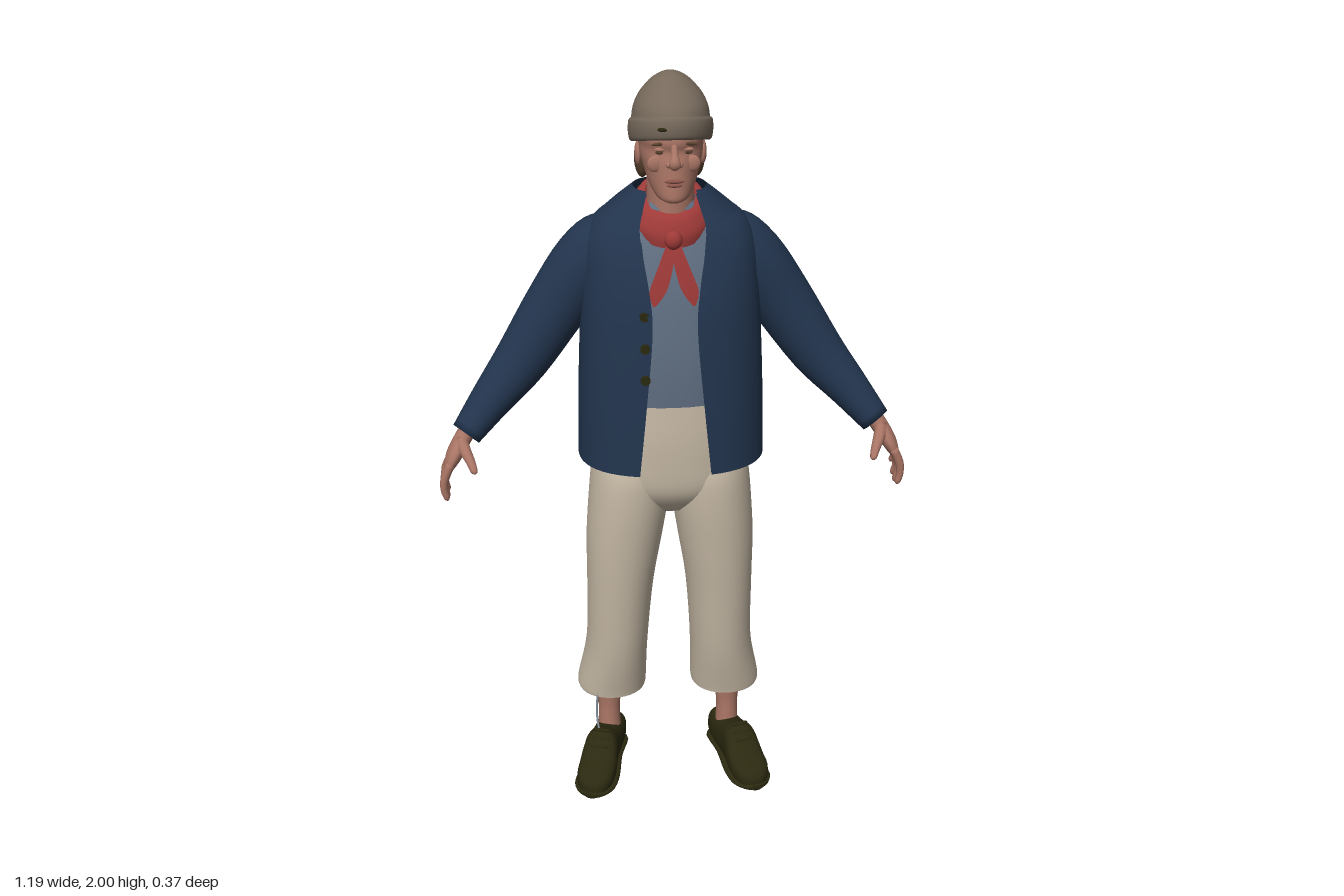
import * as THREE from 'three';

const mat = (name, color, side = THREE.DoubleSide) => Object.assign(new THREE.MeshStandardMaterial({ color, side }), { name });
const V = (x, y, z) => new THREE.Vector3(x, y, z);

// Catmull-Rom resampling of rows of numbers
function smooth(rows, steps = 4) {
  const out = [], at = i => rows[Math.min(rows.length - 1, Math.max(0, i))];
  for (let i = 0; i < rows.length - 1; i++)
    for (let k = 0; k < steps; k++) {
      const t = k / steps, [a, b, c, d] = [at(i - 1), at(i), at(i + 1), at(i + 2)];
      out.push(b.map((v, j) => v + 0.5 * t * (c[j] - a[j] + t * (2 * a[j] - 5 * v + 4 * c[j] - d[j] + t * (3 * (v - c[j]) + d[j] - a[j])))));
    }
  out.push(rows[rows.length - 1]);
  return out;
}

// Surface through a list of point rings
function loft(rings, closed = true, cap0 = false, cap1 = false) {
  const n = rings[0].length, pts = rings.flat(), index = [];
  for (let i = 0; i < rings.length - 1; i++)
    for (let j = 0; j < (closed ? n : n - 1); j++) {
      const k = (j + 1) % n, a = i * n + j, b = i * n + k, c = a + n, d = b + n;
      index.push(a, b, c, b, d, c);
    }
  const cap = (start, flip) => {
    const mid = V(0, 0, 0), m = pts.length;
    for (let j = 0; j < n; j++) mid.addScaledVector(pts[start + j], 1 / n);
    pts.push(mid);
    for (let j = 0; j < n; j++) {
      const a = start + j, b = start + (j + 1) % n;
      index.push(m, flip ? b : a, flip ? a : b);
    }
  };
  if (cap0) cap(0, true);
  if (cap1) cap((rings.length - 1) * n, false);
  const g = new THREE.BufferGeometry().setFromPoints(pts);
  g.setIndex(index);
  g.computeVertexNormals();
  return g;
}

const pw = (v, p) => Math.sign(v) * Math.abs(v) ** p;

// Horizontal section; row = [y, halfWidth, zFront, zBack, tilt, frontGap]
function section([y, rx, zf, zb, tilt = 0, gap = 0], p = 1, cx = 0, n = 36) {
  const a0 = gap ? Math.asin((gap / rx) ** (1 / p)) : 0, ring = [];
  for (let j = 0; j < n; j++) {
    const a = a0 + (2 * Math.PI - 2 * a0) * j / (gap ? n - 1 : n);
    const z = (zf + zb) / 2 + (zf - zb) / 2 * pw(Math.cos(a), p);
    ring.push(V(cx + rx * pw(Math.sin(a), p), y + tilt * z, z));
  }
  return ring;
}

// Front depth of a set of rows at x, y
function frontZ(rows, x, y, p = 1) {
  let i = 0;
  while (i < rows.length - 2 && rows[i + 1][0] < y) i++;
  const t = (y - rows[i][0]) / (rows[i + 1][0] - rows[i][0]);
  const [rx, zf, zb] = [1, 2, 3].map(k => rows[i][k] + t * (rows[i + 1][k] - rows[i][k]));
  const s = Math.min(1, Math.abs(x) / rx) ** (1 / p);
  return (zf + zb) / 2 + (zf - zb) / 2 * Math.sqrt(1 - s * s) ** p;
}

// Thin panel lying on the front of a surface; edges = [y, xInner, xOuter]
function patch(edges, rows, p, s, lift) {
  return loft(smooth(edges, 3).map(([y, a, b]) => [0, 1, 2, 3, 4, 5].map(k => {
    const x = s > 0 ? a + (b - a) * k / 5 : -b + (b - a) * k / 5;
    return V(x, y, frontZ(rows, x, y, p) + lift);
  })), false);
}

// Tapered limb; row = [x, y, z, radiusInPlane, radiusDepth]
function limb(rows, n = 16, steps = 4) {
  const r = smooth(rows, steps);
  return loft(r.map((q, i) => {
    const a = r[Math.max(0, i - 1)], b = r[Math.min(r.length - 1, i + 1)];
    const d = V(b[0] - a[0], b[1] - a[1], b[2] - a[2]).normalize();
    const n1 = d.clone().cross(V(0, 0, 1)).normalize(), n2 = d.clone().cross(n1);
    return Array.from({ length: n }, (_, j) => V(q[0], q[1], q[2])
      .addScaledVector(n1, q[3] * Math.cos(2 * Math.PI * j / n))
      .addScaledVector(n2, q[4] * Math.sin(2 * Math.PI * j / n)));
  }), true, true, true);
}

export function createModel() {
  const root = new THREE.Group();
  const navy = mat('navy wool', 0x22344d), cream = mat('cream canvas', 0xc9bca8), grey = mat('blue grey shirt', 0x617083);
  const red = mat('red cotton', 0x9e3a38), skin = mat('skin', 0xa97565), lip = mat('lips', 0x8a544a);
  const brown = mat('brown hair', 0x553f2c), knit = mat('taupe knit', 0x776a5c), dark = mat('dark olive leather', 0x2b2910);
  const pale = mat('pale lace', 0x8c98a5);
  const add = (name, geo, m, parent = root) => {
    const o = new THREE.Mesh(geo, m);
    o.name = name;
    parent.add(o);
    return o;
  };
  const ball = (name, m, [x, y, z], [a, b, c]) => {
    const o = add(name, new THREE.SphereGeometry(1, 20, 14), m);
    o.position.set(x, y, z);
    o.scale.set(a, b, c);
    return o;
  };

  // Head and neck
  const head = smooth([[1.712, .02, .118, .06], [1.722, .04, .132, .02], [1.75, .057, .131, -.04], [1.78, .067, .128, -.075],
    [1.81, .075, .125, -.09], [1.835, .078, .119, -.1], [1.86, .08, .124, -.1], [1.9, .076, .11, -.095], [1.94, .05, .07, -.06]]);
  add('head', loft(head.map(r => section(r)), true, true, true), skin);
  add('neck', loft([[1.58, .07, .075, -.08], [1.66, .058, .07, -.07], [1.77, .058, .07, -.075]].map(r => section(r))), skin);
  add('nose', limb([[0, 1.853, .117, .008, .008], [0, 1.832, .129, .009, .01], [0, 1.813, .14, .014, .012], [0, 1.803, .13, .01, .008]]), skin);
  const onFace = (name, m, x, y, w, h, d = .004) => ball(name, m, [x, y, frontZ(head, x, y)], [w, h, d]);
  onFace('upperLip', lip, 0, 1.769, .024, .005, .005);
  onFace('lowerLip', lip, 0, 1.76, .019, .005, .006);
  for (const s of [1, -1]) {
    onFace('nostril', skin, s * .012, 1.808, .009, .008, .01);
    onFace('eye', brown, s * .032, 1.834, .012, .0045);
    onFace('eyelid', skin, s * .032, 1.841, .015, .005, .006);
    onFace('eyebrow', brown, s * .034, 1.855, .019, .004).rotation.z = -s * .1;
    onFace('cheek', skin, s * .043, 1.806, .02, .02, .008);
    ball('ear', skin, [s * .078, 1.805, .005], [.009, .03, .02]);
    ball('sideHair', brown, [s * .066, 1.785, -.028], [.02, .05, .03]);
  }

  // Hair and bun
  ball('backHair', brown, [0, 1.785, -.055], [.083, .064, .056]);
  for (const [x, y, r] of [[0, 1.83, .022], [.026, 1.822, .017], [-.026, 1.822, .017], [.015, 1.805, .016], [-.015, 1.805, .016]])
    ball('bunCurl', brown, [x, y, -.12], [r, r, r]);

  // Knitted cap with a turned-up band
  const cap = [[1.832, .094, .124, -.116, .28], [1.838, .099, .13, -.122, .28], [1.86, .102, .132, -.124, .28], [1.884, .1, .128, -.121, .25],
    [1.89, .094, .122, -.115, .22], [1.915, .09, .113, -.108, .16], [1.945, .077, .092, -.09, .08], [1.975, .052, .06, -.06, .02],
    [1.993, .026, .03, -.03, 0], [2, .003, .003, -.003, 0]];
  add('knitCap', loft(smooth(cap, 3).map(r => section(r)), true, false, true), knit);
  const pin = ball('capPin', dark, [-.028, 1.892, .126], [.012, .005, .004]);
  pin.rotation.y = -.2;

  // Shirt
  const shirt = smooth([[1.17, .185, .121, -.15], [1.3, .19, .126, -.15], [1.45, .19, .116, -.15], [1.55, .175, .098, -.14],
    [1.63, .13, .076, -.11], [1.69, .06, .06, -.07]]);
  add('shirt', loft(shirt.map(r => section(r, .85))), grey);

  // Open jacket
  const jacket = smooth([[1.02, .24, .185, -.18, 0, .09], [1.2, .235, .175, -.175, 0, .072], [1.4, .226, .158, -.175, 0, .055],
    [1.5, .22, .139, -.174, 0, .062], [1.58, .213, .112, -.165, 0, .075], [1.635, .185, .085, -.15, 0, .08],
    [1.672, .13, .055, -.13, 0, .07], [1.705, .088, .035, -.1, 0, .06]]);
  add('jacket', loft(jacket.map(r => section(r, .8, 0, 48)), false), navy);
  const collar = [[1.63, .19, .092, -.158, 0, .085], [1.675, .137, .064, -.138, 0, .075], [1.715, .09, .04, -.1, 0, .06]];
  add('collar', loft(smooth(collar).map(r => section(r, .85, 0, 40)), false), navy);
  for (const y of [1.28, 1.36, 1.44]) {
    const b = add('button', new THREE.CylinderGeometry(.012, .012, .009, 14), dark);
    b.position.set(-.074, y, frontZ(jacket, .074, y, .8) + .004);
    b.rotation.x = Math.PI / 2;
  }

  // Neckerchief, knot and tails
  const wrap = [[1.635, .098, .095, -.085, -.45], [1.665, .1, .097, -.088, -.45], [1.694, .082, .085, -.08, -.45], [1.703, .062, .07, -.068, -.45]];
  add('neckerchief', loft(smooth(wrap).map(r => section(r))), red);
  ball('knot', red, [0, 1.615, .098], [.022, .024, .018]);
  for (const s of [1, -1])
    add('neckerchiefTail', patch([[1.455, .046, .052], [1.49, .02, .06], [1.54, .004, .042], [1.61, -.008, .014]], shirt, .85, s, .012), red);

  // Trouser seat and waistband
  const seat = [[.85, .1, .05, -.08], [.89, .165, .09, -.125], [.94, .202, .117, -.152], [1.02, .206, .126, -.165], [1.1, .2, .13, -.162], [1.185, .193, .129, -.155]];
  add('trouserSeat', loft(smooth(seat).map(r => section(r, .9)), true, true), cream);

  for (const s of [1, -1]) {
    // Trouser leg; last value is the centre line
    const leg = [[.25, .082, .003, -.172, .16], [.24, .092, .012, -.183, .16], [.255, .096, .016, -.186, .16], [.4, .085, .05, -.17, .145],
      [.6, .09, .08, -.152, .135], [.75, .101, .1, -.15, .123], [.87, .106, .113, -.152, .11], [.96, .104, .116, -.155, .103], [1.02, .096, .105, -.145, .1]];
    add('trouserLeg', loft(smooth(leg).map(r => section(r.slice(0, 4), .93, s * r[4]))), cream);
    add('ankle', loft(smooth([[.06, .034, -.04, -.115], [.14, .03, -.046, -.112], [.2, .034, -.045, -.12], [.4, .045, -.03, -.13]])
      .map(r => section(r, 1, s * .17))), skin);

    // Shoe with sole, heel and laces; row = [z, halfWidth, height]
    const shoe = new THREE.Group();
    shoe.name = 'shoe';
    shoe.position.set(s * .192, 0, 0);
    shoe.rotation.y = s * .27;
    root.add(shoe);
    const body = rows => loft(smooth(rows, 3).map(([z, w, h]) => Array.from({ length: 24 }, (_, j) => {
      const a = 2 * Math.PI * j / 24;
      return V(w * pw(Math.cos(a), .75), h / 2 * (1 + pw(Math.sin(a), .75)), z);
    })), true, true, true);
    add('upper', body([[-.14, .022, .07], [-.13, .038, .098], [-.085, .043, .1], [-.035, .044, .112], [.01, .047, .13], [.035, .05, .118],
      [.07, .053, .083], [.11, .051, .067], [.14, .036, .052], [.153, .014, .032]]), dark, shoe);
    add('sole', body([[-.146, .025, .018], [-.12, .046, .018], [-.04, .046, .018], [.05, .059, .018], [.11, .058, .018], [.145, .038, .018], [.158, .014, .018]]), dark, shoe);
    for (let i = 0; i < 3; i++) {
      const lace = add('lace', new THREE.CapsuleGeometry(.005, .04, 3, 8), dark, shoe);
      lace.rotation.z = Math.PI / 2;
      lace.position.set(0, .131 - i * .016, .015 + i * .017);
    }

    // Sleeve
    add('sleeve', limb([[s * .1, 1.6, -.055, .035, .05], [s * .145, 1.57, -.05, .078, .085], [s * .205, 1.515, -.045, .086, .09],
      [s * .285, 1.405, -.035, .08, .08], [s * .375, 1.275, -.008, .069, .068], [s * .455, 1.185, .032, .053, .055], [s * .523, 1.107, .073, .039, .044]], 24), navy);

    // Hand: palm, four fingers and thumb
    add('palm', limb([[s * .505, 1.135, .065, .022, .03], [s * .53, 1.1, .076, .022, .03], [s * .555, 1.06, .093, .02, .043], [s * .57, 1.03, .097, .013, .041], [s * .573, 1.02, .097, .006, .034]]), skin);
    [[.064, .047, .972], [.086, .073, .948], [.108, .101, .942], [.13, .131, .95]].forEach(([z0, z1, tip]) =>
      add('finger', limb([[s * .563, 1.05, z0, .011, .011], [s * .58, 1.01, (z0 * 2 + z1) / 3, .011, .0115], [s * .583, (1.01 + tip) / 2, (z0 + 2 * z1) / 3, .0095, .0105],
        [s * .578, tip + .008, z1, .008, .009], [s * .576, tip, z1, .003, .004]], 10, 3), skin));
    add('thumb', limb([[s * .535, 1.1, .09, .016, .016], [s * .525, 1.083, .123, .015, .015], [s * .512, 1.066, .15, .012, .012],
      [s * .503, 1.05, .172, .009, .009], [s * .502, 1.045, .178, .003, .003]], 10, 3), skin);

    // Lapel
    add('lapel', patch([[1.43, .056, .062], [1.5, .062, .11], [1.57, .073, .15], [1.6, .076, .165], [1.612, .078, .115]], jacket, .8, s, .008), navy);
  }

  // Loose lace hanging at the right ankle
  add('looseLace', limb([[-.205, .25, .002, .003, .003], [-.208, .17, -.004, .003, .003], [-.2, .11, .02, .003, .003]], 6), pale);
  return root;
}
